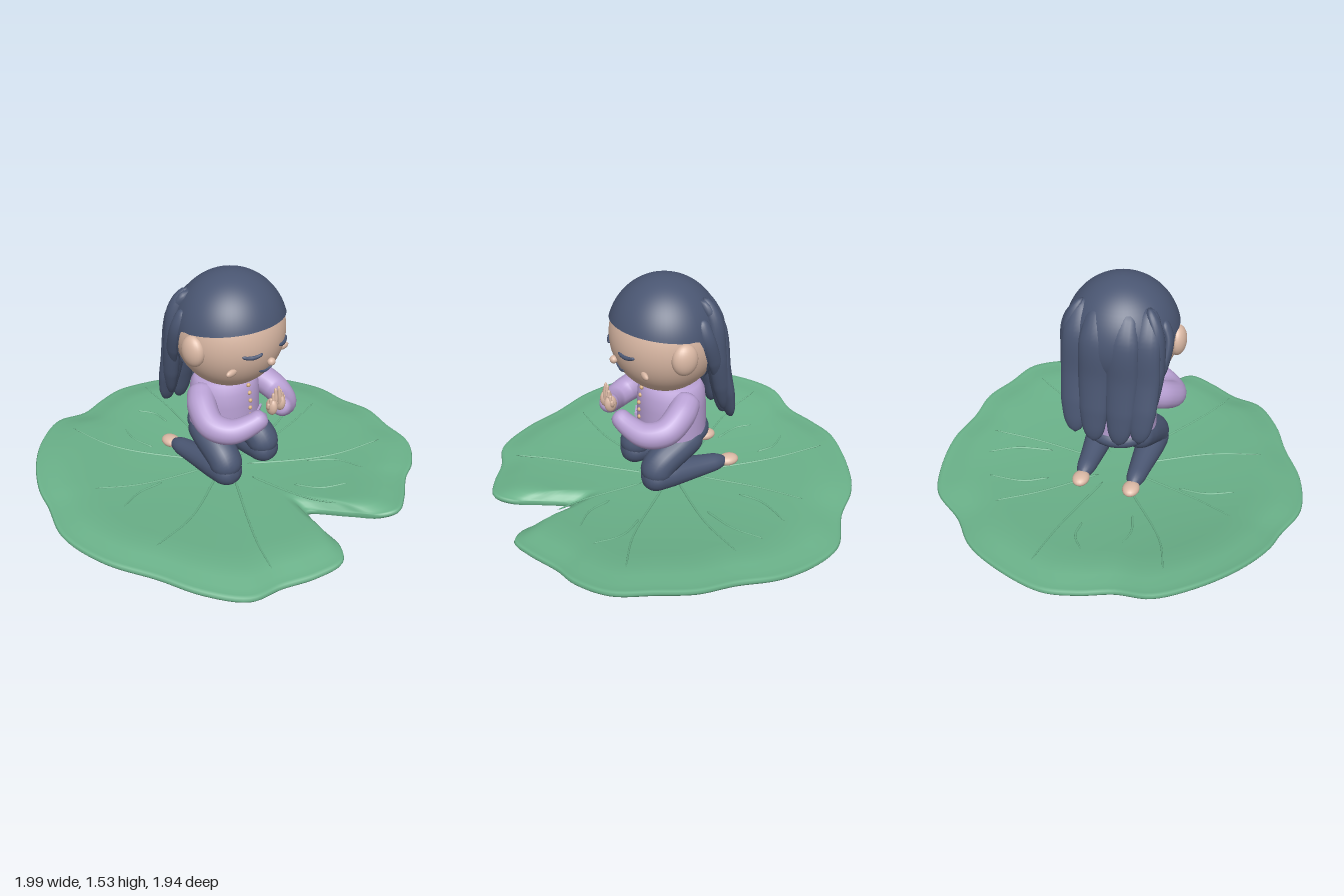
import * as THREE from 'three';
import { mergeVertices } from 'three/addons/utils/BufferGeometryUtils.js';

const V = (x, y, z) => new THREE.Vector3(x, y, z);
const mat = (name, color, side = THREE.FrontSide) => {
  const m = new THREE.MeshStandardMaterial({ color, side });
  m.name = name;
  return m;
};

export function createModel() {
  const model = new THREE.Group();
  const figure = new THREE.Group();
  figure.name = 'kneelingFigure';
  figure.position.x = 0.01;
  model.add(figure);

  const leafGreen = mat('leafGreen', 0x6ab189);
  const skin = mat('skin', 0xdbb9a5);
  const navy = mat('navy', 0x4a5672, THREE.DoubleSide);
  const lavender = mat('lavender', 0xb8a0d3, THREE.DoubleSide);
  const gold = mat('buttonGold', 0xd8b183);

  const add = (parent, name, geo, material) => {
    const m = new THREE.Mesh(geo, material);
    m.name = name;
    parent.add(m);
    return m;
  };
  const ball = (parent, name, material, p, r, segs = 32) => {
    const m = add(parent, name, new THREE.SphereGeometry(1, segs, segs * 0.75), material);
    m.position.set(...p);
    m.scale.set(...r);
    return m;
  };
  const smooth = (geo) => {
    geo.deleteAttribute('uv');
    geo.deleteAttribute('normal');
    const g = mergeVertices(geo, 1e-5);
    g.computeVertexNormals();
    return g;
  };
  // Swept limb or lock: radii spread along the path, rounded ends, optional stretch per axis
  const limb = (points, radii, stretch = [1, 1, 1], cap = 0.12, n = 36, m = 18) => {
    const curve = new THREE.CatmullRomCurve3(points.map((p) => V(...p)));
    const geo = new THREE.TubeGeometry(curve, n, 1, m);
    const pos = geo.attributes.position;
    const v = V(0, 0, 0), scale = V(...stretch);
    for (let i = 0; i <= n; i++) {
      const t = i / n, c = curve.getPointAt(t);
      const f = t * (radii.length - 1), k = Math.min(Math.floor(f), radii.length - 2);
      const e = Math.min(1, Math.min(t, 1 - t) / cap);
      const r = THREE.MathUtils.lerp(radii[k], radii[k + 1], f - k) * Math.sqrt(1 - (1 - e) ** 2);
      for (let j = 0; j <= m; j++) {
        const q = i * (m + 1) + j;
        v.fromBufferAttribute(pos, q).sub(c).multiplyScalar(r).multiply(scale).add(c);
        pos.setXYZ(q, v.x, v.y, v.z);
      }
    }
    return smooth(geo);
  };

  // Lily leaf: wavy notched outline, dished and twisted, with a thin rolled-down rim
  const outline = [
    [0.03, 0.59], [0.14, 0.78], [0.2, 0.91], [0.28, 0.965], [0.38, 0.93], [0.54, 0.84], [0.66, 0.8], [0.81, 0.68],
    [0.88, 0.5], [0.95, 0.32], [0.96, 0.13], [0.995, -0.08], [0.96, -0.32], [0.89, -0.48], [0.7, -0.63],
    [0.57, -0.78], [0.43, -0.87], [0.11, -0.975], [-0.07, -0.95], [-0.24, -0.9], [-0.42, -0.9], [-0.61, -0.79],
    [-0.77, -0.63], [-0.88, -0.45], [-0.92, -0.32], [-0.995, -0.11], [-0.96, 0.16], [-0.85, 0.4], [-0.77, 0.61],
    [-0.64, 0.79], [-0.48, 0.84], [-0.32, 0.92], [-0.18, 0.955], [-0.1, 0.89], [-0.04, 0.73],
  ];
  const rim = new THREE.CatmullRomCurve3(outline.map(([x, z]) => V(x, 0, z)), true).getPoints(210);
  const lift = (x, z) => {
    const r = Math.hypot(x, z);
    return -0.012 * x * r - 0.008 * z + 0.08 * x * z * r + 0.01 * r ** 3 * Math.sin(5 * Math.atan2(x, z) + 1);
  };
  const topY = (x, z) => 0.365 + 0.09 * (x * x + z * z) + lift(x, z);
  const bottomY = (x, z) => 0.3 + 0.09 * (x * x + z * z) + lift(x, z);
  const ts = [0, 0.15, 0.3, 0.45, 0.6, 0.72, 0.82, 0.89, 0.94, 0.975, 0.993];
  const rings = [...ts.map((t) => [t, 0]), [1, 0.5], ...[...ts].reverse().map((t) => [t, 1])];
  const verts = [], faces = [], w = rim.length;
  rings.forEach(([t, mix], i) => {
    rim.forEach((p, j) => {
      const x = p.x * t, z = p.z * t;
      const roll = THREE.MathUtils.smoothstep(t, 0.8, 1);
      const upper = topY(x, z) - 0.045 * roll, lower = bottomY(x, z) - 0.006 * roll;
      verts.push(x, THREE.MathUtils.lerp(upper, lower, mix), z);
      if (i < rings.length - 1 && j < w - 1) {
        const a = i * w + j, b = a + w;
        faces.push(a, b, b + 1, a, b + 1, a + 1);
      }
    });
  });
  const leaf = new THREE.BufferGeometry();
  leaf.setAttribute('position', new THREE.Float32BufferAttribute(verts, 3));
  leaf.setIndex(faces);
  const leafGeo = mergeVertices(leaf, 1e-5);
  leafGeo.computeVertexNormals();
  add(model, 'lilyLeaf', leafGeo, leafGreen);

  // Raised veins on the leaf
  const veins = [
    [[-0.43, -0.75], [-0.35, -0.52], [-0.08, -0.15]], [[0.2, -0.84], [0.16, -0.55], [0.06, -0.15]],
    [[0.55, -0.49], [0.35, -0.34], [0.1, -0.1]], [[0.78, 0.03], [0.5, 0.05], [0.12, 0.02]],
    [[0.7, 0.56], [0.45, 0.42], [0.1, 0.1]], [[0.12, 0.7], [0.07, 0.55], [0.03, 0.2]],
    [[-0.46, 0.76], [-0.36, 0.58], [-0.05, 0.15]], [[-0.73, 0.27], [-0.45, 0.22], [-0.1, 0.06]],
    [[-0.66, -0.27], [-0.45, -0.16], [-0.1, -0.04]], [[-0.18, -0.59], [-0.2, -0.5], [-0.17, -0.37]],
    [[0, -0.69], [0.06, -0.6], [0.06, -0.5]], [[0.66, -0.31], [0.47, -0.29], [0.35, -0.22]],
    [[0.74, -0.14], [0.6, -0.05], [0.41, 0]], [[0.45, 0.63], [0.43, 0.47], [0.33, 0.34]],
    [[0.29, 0.64], [0.18, 0.55], [0.12, 0.42]], [[-0.64, -0.07], [-0.5, -0.11], [-0.35, -0.1]],
  ];
  for (const path of veins) {
    const flat = new THREE.CatmullRomCurve3(path.map(([x, z]) => V(x, 0, z))).getPoints(8);
    const pts = flat.map((p) => [p.x, topY(p.x, p.z) + 0.001, p.z]);
    add(model, 'leafVein', limb(pts, [0.004, 0.007], [1, 1, 1], 0.1, 24, 8), leafGreen);
  }

  // Leaning stem with a flared top
  const profile = [[0, 0], [0.02, 0], [0.024, 0.03], [0.03, 0.15], [0.036, 0.23], [0.022, 0.265], [0.04, 0.29], [0.065, 0.33]];
  const stem = new THREE.LatheGeometry(profile.map(([r, y]) => new THREE.Vector2(r, y)), 20);
  const sp = stem.attributes.position;
  for (let i = 0; i < sp.count; i++) {
    const d = 1 - Math.min(1, sp.getY(i) / 0.28);
    sp.setX(i, sp.getX(i) - 0.085 * d);
    sp.setZ(i, sp.getZ(i) + 0.015 - 0.05 * d);
  }
  stem.computeVertexNormals();
  add(model, 'stem', stem, leafGreen);

  // Head and face
  const H = { y: 1.226, z: 0.05, rx: 0.28, ry: 0.293, rz: 0.275 };
  ball(figure, 'head', skin, [0, H.y, H.z], [H.rx, H.ry, H.rz], 48);
  const faceZ = (x, y) => H.z + H.rz * Math.sqrt(1 - (x / H.rx) ** 2 - ((y - H.y) / H.ry) ** 2);
  const faceArc = (name, x, y, half, sag, r) => {
    const pts = [-1, -0.5, 0, 0.5, 1].map((k) => {
      const px = x + k * half, py = y - sag * (1 - k * k);
      return [px, py, faceZ(px, py) + 0.002];
    });
    add(figure, name, limb(pts, [r * 0.7, r, r * 0.7], [1, 1, 1], 0.15, 20, 8), navy);
  };
  faceArc('mouth', 0, 1.09, 0.05, 0.016, 0.008);
  ball(figure, 'nose', skin, [0, 1.135, 0.322], [0.022, 0.02, 0.02], 16);
  for (const s of [-1, 1]) {
    faceArc('closedEye', s * 0.11, 1.202, 0.05, 0.012, 0.011);
    ball(figure, 'cheek', skin, [s * 0.19, 1.117, 0.24], [0.036, 0.018, 0.014], 16);
    ball(figure, 'ear', skin, [s * 0.275, 1.205, 0.07], [0.045, 0.08, 0.066], 24);
  }

  // Hair cap: short fringe at the front, running low at the back
  const cap = new THREE.SphereGeometry(1, 64, 28, 0, Math.PI * 2, 0, 2);
  const cp = cap.attributes.position;
  for (let i = 0; i < cp.count; i++) {
    const phi = (i % 65) / 64 * Math.PI * 2, t = Math.floor(i / 65) / 28;
    const back = THREE.MathUtils.smoothstep(-Math.sin(phi), 0.15, 0.65);
    const th = t * (1.36 - 0.11 * Math.max(0, Math.sin(phi)) + back);
    cp.setXYZ(i, -Math.cos(phi) * Math.sin(th) * 0.29, H.y + Math.cos(th) * 0.3,
      H.z + Math.sin(phi) * Math.sin(th) * 0.285);
  }
  add(figure, 'hairCap', smooth(cap), navy);

  // Broad back locks and slimmer side locks
  for (const s of [-1, 1]) {
    for (const [x, z, end, r] of [[0.065, 0, 0.73, 0.085], [0.165, 0.035, 0.76, 0.08]]) {
      add(figure, 'backLock', limb([
        [s * x, 1.44, -0.09 + z], [s * x, 1.28, -0.185 + z], [s * x * 1.05, 1.08, -0.2 + z * 0.7],
        [s * x * 1.05, 0.88, -0.23 + z * 0.3], [s * x, end, -0.25 + z * 0.2],
      ], [r * 0.7, r, r, r * 0.9, r * 0.55], [1, 1, 0.5]), navy);
    }
    add(figure, 'sideLock', limb([
      [s * 0.16, 1.45, -0.08], [s * 0.215, 1.34, -0.115], [s * 0.225, 1.15, -0.13], [s * 0.205, 0.95, -0.17], [s * 0.18, 0.82, -0.2],
    ], [0.03, 0.042, 0.05, 0.045, 0.02], [0.8, 1, 1]), navy);
    add(figure, 'templeLock', limb([
      [s * 0.225, 1.37, -0.035], [s * 0.262, 1.28, -0.055], [s * 0.25, 1.15, -0.1], [s * 0.215, 1.03, -0.14],
    ], [0.032, 0.036, 0.036, 0.022], [0.6, 1, 1]), navy);
  }

  // Blouse with buttons and pockets
  const body = [[0.19, 0.685], [0.189, 0.75], [0.187, 0.84], [0.18, 0.91], [0.155, 0.955], [0.06, 0.98]];
  const blouse = add(figure, 'blouse', new THREE.LatheGeometry(body.map(([r, y]) => new THREE.Vector2(r, y)), 40), lavender);
  blouse.scale.z = 0.95;
  blouse.position.z = 0.015;
  for (let i = 0; i < 6; i++) {
    ball(figure, 'button', gold, [0, 0.735 + i * 0.042, 0.196 - (i > 3 ? (i - 3) * 0.008 : 0)], [0.011, 0.011, 0.01], 12);
  }
  for (const s of [-1, 1]) {
    const pocket = new THREE.Group();
    pocket.name = 'pocket';
    pocket.position.set(s * 0.088, 0.735, 0.174);
    pocket.rotation.y = s * 0.46;
    figure.add(pocket);
    add(pocket, 'pocketPanel', new THREE.BoxGeometry(0.075, 0.055, 0.008), lavender);
    add(pocket, 'pocketFlap', new THREE.BoxGeometry(0.085, 0.014, 0.009), lavender).position.set(0, 0.025, 0.004);
  }

  // Hips
  ball(figure, 'hips', navy, [0, 0.67, -0.02], [0.18, 0.075, 0.165]);

  for (const s of [-1, 1]) {
    // Sleeves bent toward the joined hands
    add(figure, 'sleeve', limb([
      [s * 0.13, 0.91, -0.02], [s * 0.21, 0.865, 0.06], [s * 0.245, 0.81, 0.16], [s * 0.205, 0.795, 0.25],
      [s * 0.12, 0.825, 0.31], [s * 0.05, 0.87, 0.345],
    ], [0.07, 0.075, 0.072, 0.066, 0.056, 0.045], [1, 1, 1], 0.08), lavender);
    // Praying hands with fanned fingers
    ball(figure, 'palm', skin, [s * 0.03, 0.91, 0.36], [0.024, 0.045, 0.032], 20);
    for (let i = 0; i < 4; i++) {
      add(figure, 'finger', limb([
        [s * (0.018 + i * 0.008), 0.9, 0.37 - i * 0.004], [s * (0.014 + i * 0.014), 0.95 - i * 0.01, 0.372 - i * 0.004],
        [s * (0.012 + i * 0.015), 1.012 - i * 0.024, 0.364],
      ], [0.01, 0.01, 0.007], [1, 1, 1], 0.12, 16, 10), skin);
    }
    // Folded legs and bare feet
    add(figure, 'thigh', limb([
      [s * 0.1, 0.68, -0.1], [s * 0.128, 0.62, 0.04], [s * 0.143, 0.55, 0.15], [s * 0.145, 0.46, 0.185],
    ], [0.075, 0.085, 0.087, 0.085], [1, 1, 1], 0.2), navy);
    add(figure, 'shin', limb([
      [s * 0.145, 0.49, 0.25], [s * 0.145, 0.485, 0.1], [s * 0.14, 0.475, -0.08], [s * 0.138, 0.468, -0.25],
    ], [0.088, 0.079, 0.06, 0.042], [1, 0.95, 1], 0.18), navy);
    ball(figure, 'foot', skin, [s * 0.138, 0.465, -0.26], [0.045, 0.03, 0.058], 20);
  }
  return model;
}
